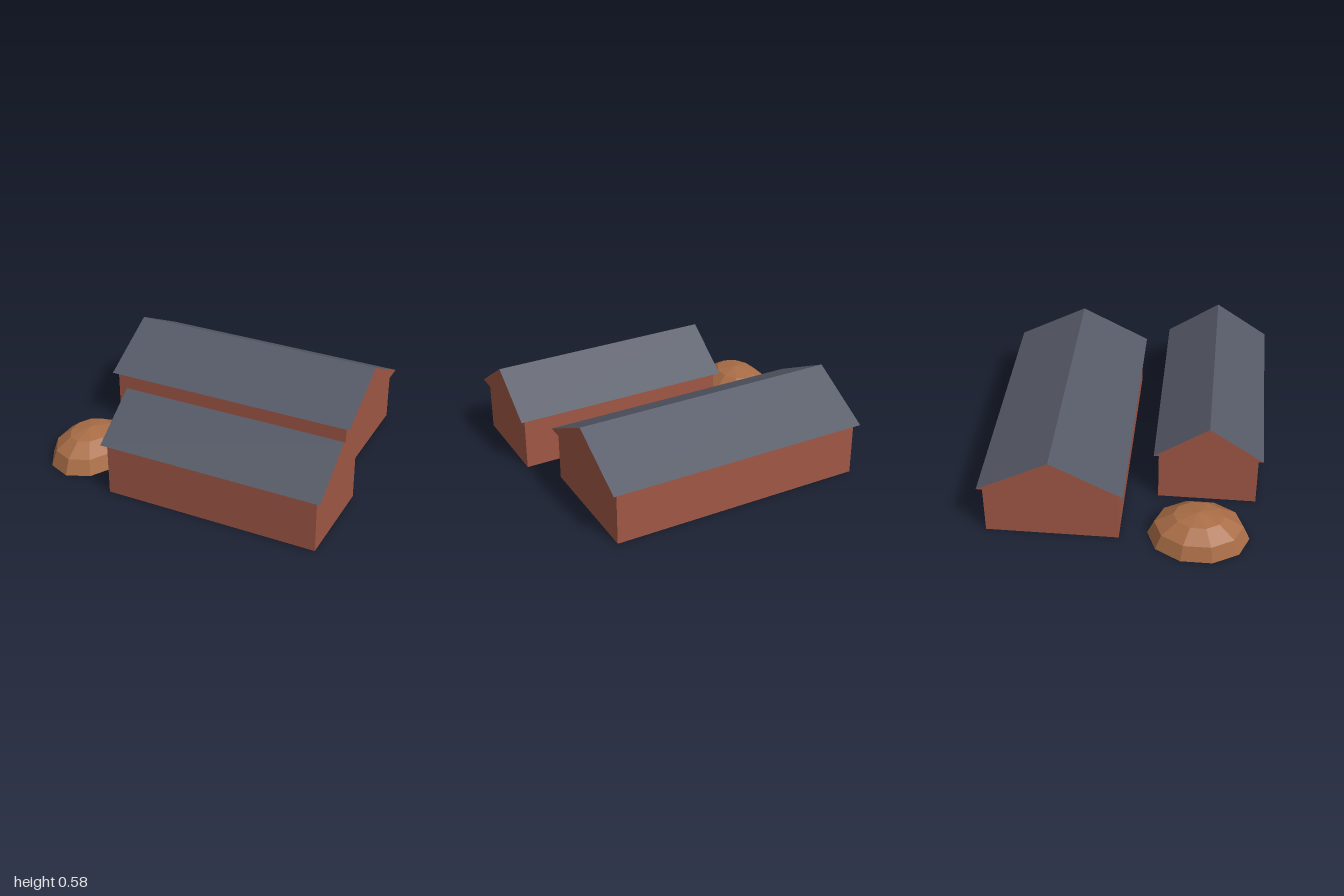
import * as THREE from 'three';

const material = (name, color) => {
  const m = new THREE.MeshStandardMaterial({ color });
  m.name = name;
  return m;
};

export function createModel() {
  const brick = material('brick', 0x9f5745);
  const slate = material('slate', 0x565a67);
  const clay = material('clay', 0xa96d46);
  clay.side = THREE.DoubleSide;
  clay.flatShading = true;

  const model = new THREE.Group();
  model.name = 'barnyard';

  const eaves = 0.35, ridge = 0.58, overhang = 0.03;

  // Long barn: box walls under an overhanging gabled roof with brick gable ends
  function barn(name, length, depth, x, z) {
    const group = new THREE.Group();
    group.name = name;
    group.position.set(x, 0, z);

    const walls = new THREE.Mesh(new THREE.BoxGeometry(length, eaves, depth), brick);
    walls.name = 'walls';
    walls.position.y = eaves / 2;

    const half = depth / 2 + overhang, roofLength = length + overhang * 2;
    const gable = new THREE.Shape();
    gable.moveTo(-half, eaves);
    gable.lineTo(half, eaves);
    gable.lineTo(0, ridge);
    gable.closePath();
    const roofGeometry = new THREE.ExtrudeGeometry(gable, { depth: roofLength, bevelEnabled: false });
    roofGeometry.translate(0, 0, -roofLength / 2);
    roofGeometry.rotateY(Math.PI / 2);
    const roof = new THREE.Mesh(roofGeometry, [brick, slate]);
    roof.name = 'roof';

    group.add(walls, roof);
    model.add(group);
  }

  barn('backBarn', 1.66, 0.828, 0, -0.416);
  barn('frontBarn', 1.387, 0.623, 0.277, 0.521);

  // Low faceted mound, open underneath
  const moundGeometry = new THREE.SphereGeometry(1, 10, 3, 0, Math.PI * 2, 0, Math.PI / 2);
  moundGeometry.rotateY(Math.PI / 2);
  moundGeometry.scale(0.247, 0.195, 0.316);
  const mound = new THREE.Mesh(moundGeometry, clay);
  mound.name = 'mound';
  mound.position.set(-0.765, 0, 0.484);
  model.add(mound);

  return model;
}
